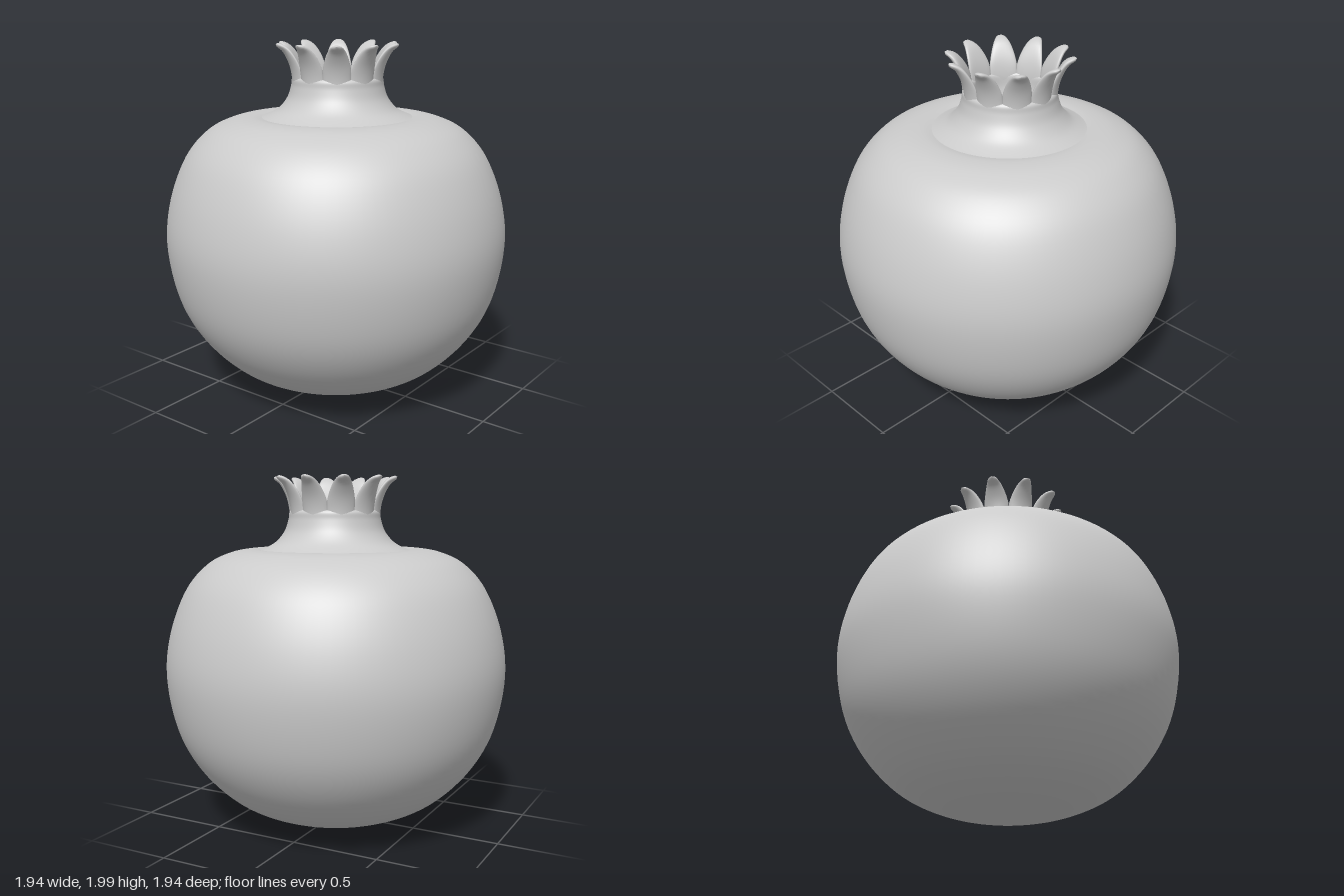
import * as THREE from 'three';

const material = new THREE.MeshStandardMaterial({ color: 0xcccccc, roughness: 0.8 });

// Smooth curve through [radius, height] pairs
const smooth = (pairs, n) =>
  new THREE.SplineCurve(pairs.map(([r, y]) => new THREE.Vector2(r, y))).getPoints(n)
    .map((p) => new THREE.Vector2(Math.max(p.x, 0), p.y));

function addMesh(parent, geometry, name) {
  const mesh = new THREE.Mesh(geometry, material);
  mesh.name = name;
  parent.add(mesh);
  return mesh;
}

// One thick, curled petal pointing along +z: lens-shaped rings swept up a curved spine
function petalGeometry() {
  const spine = new THREE.SplineCurve([
    [0.243, 1.70], [0.24, 1.78], [0.25, 1.85], [0.272, 1.91], [0.305, 1.96], [0.352, 1.986],
  ].map(([r, y]) => new THREE.Vector2(r, y)));
  const rows = 20, sides = 20;
  const positions = [], index = [];
  for (let i = 0; i <= rows; i++) {
    const v = i / rows;
    const p = spine.getPoint(v), t = spine.getTangent(v);
    // Width stays full to mid height, then tapers to a rounded tip
    const taper = v < 0.4 ? 1 : Math.sqrt(Math.max(0, 1 - ((v - 0.4) / 0.6) ** 2));
    const half = 0.076 * (v < 0.4 ? 1 : taper * (1 - 0.35 * (v - 0.4) / 0.6));
    const thick = 0.018 * Math.sqrt(Math.max(0, 1 - v ** 8));
    for (let j = 0; j < sides; j++) {
      const a = (j / sides) * Math.PI * 2;
      const x = half * Math.cos(a), d = thick * Math.sin(a);
      // Edges curl inwards around the crown
      const bend = x * x / 0.4;
      positions.push(x, p.y - t.x * d + bend * t.x, p.x + t.y * d - bend * t.y);
    }
  }
  for (let i = 0; i < rows; i++) {
    for (let j = 0; j < sides; j++) {
      const a = i * sides + j, b = i * sides + (j + 1) % sides;
      index.push(a, a + sides, b, b, a + sides, b + sides);
    }
  }
  const geometry = new THREE.BufferGeometry();
  geometry.setAttribute('position', new THREE.Float32BufferAttribute(positions, 3));
  geometry.setIndex(index);
  geometry.computeVertexNormals();
  return geometry;
}

export function createModel() {
  const model = new THREE.Group();
  model.name = 'pomegranate';

  // Fruit: flattened globe with a shallow dip around the neck
  const fruitProfile = smooth([
    [0, 0], [0.23, 0.025], [0.45, 0.085], [0.64, 0.19], [0.81, 0.37], [0.92, 0.59],
    [0.97, 0.88], [0.94, 1.13], [0.85, 1.36], [0.73, 1.5], [0.6, 1.565], [0.48, 1.585],
    [0.38, 1.575], [0.25, 1.565], [0, 1.565],
  ], 84);
  addMesh(model, new THREE.LatheGeometry(fruitProfile, 96), 'fruit');

  const crown = new THREE.Group();
  crown.name = 'crown';
  crown.position.z = -0.015;
  model.add(crown);

  // Neck: flared foot, rounded lip and hollow cup inside
  const neckProfile = smooth([
    [0.46, 1.57], [0.4, 1.59], [0.335, 1.625], [0.285, 1.685], [0.262, 1.75], [0.256, 1.79],
    [0.24, 1.805], [0.224, 1.79], [0.218, 1.72], [0.19, 1.64], [0.11, 1.595], [0, 1.58],
  ], 64);
  addMesh(crown, new THREE.LatheGeometry(neckProfile, 80), 'neck');

  // Ten petals around the lip
  const petal = petalGeometry();
  for (let i = 0; i < 10; i++) {
    addMesh(crown, petal, 'petal').rotation.y = (i / 10) * Math.PI * 2;
  }
  return model;
}
